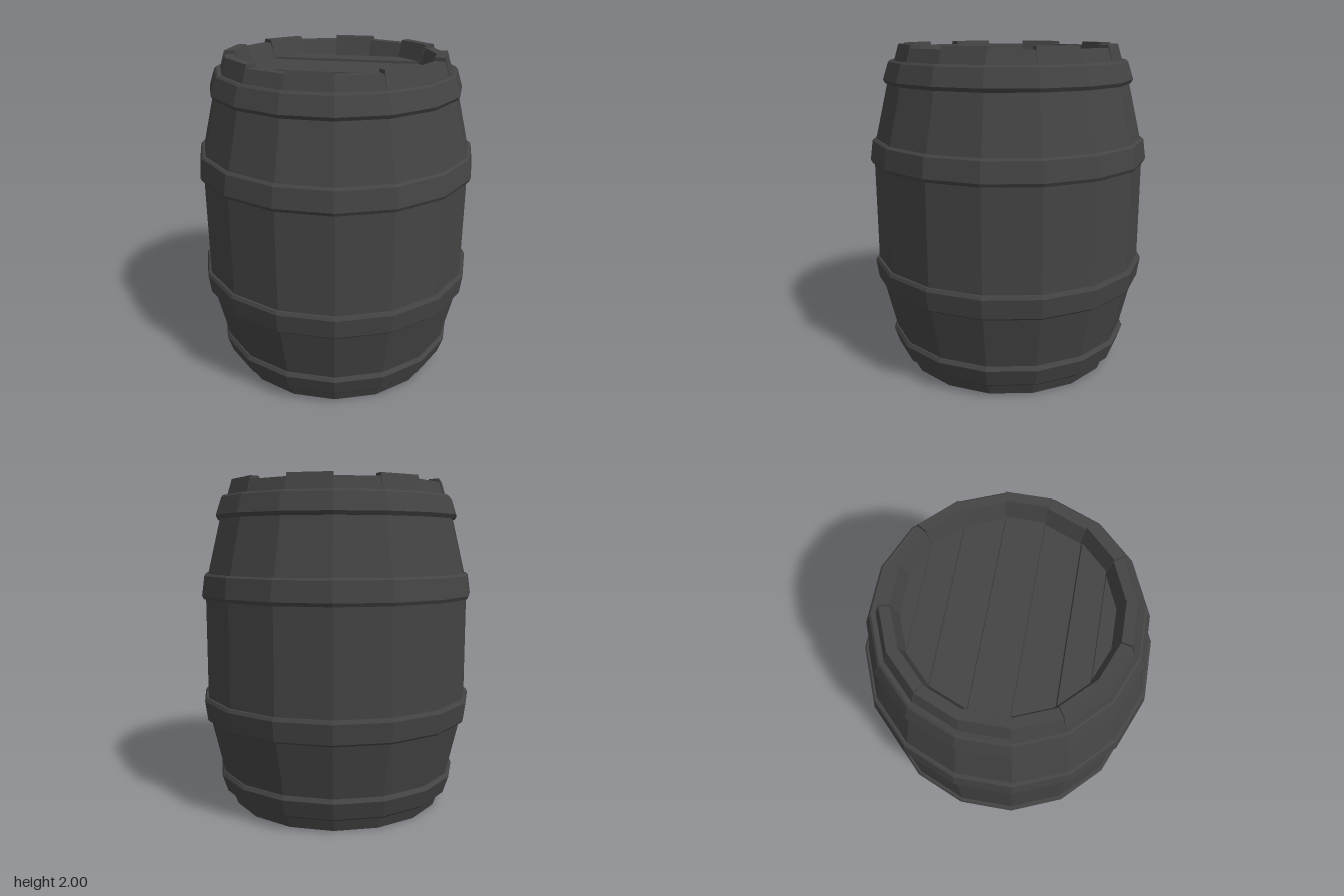
import * as THREE from 'three';

const SIDES = 16;
const HALF = Math.PI / SIDES;
const K = 1 / Math.cos(HALF); // silhouette half-width -> corner radius

const material = new THREE.MeshStandardMaterial({ color: 0x444444, flatShading: true });

function addMesh(parent, name, geometry) {
  const mesh = new THREE.Mesh(geometry, material);
  mesh.name = name;
  parent.add(mesh);
  return mesh;
}

// Sixteen-sided ring or shell from [half-width, height] pairs
function faceted(points) {
  const profile = points.map(([x, y]) => new THREE.Vector2(x * K, y));
  return new THREE.LatheGeometry(profile, SIDES, HALF);
}

// Box whose corners (signs sx, sy, sz) are moved by a rule
function shapedBox(rule) {
  const geometry = new THREE.BoxGeometry(2, 2, 2);
  const p = geometry.attributes.position;
  for (let i = 0; i < p.count; i++) {
    p.setXYZ(i, ...rule(p.getX(i), p.getY(i), p.getZ(i)));
  }
  geometry.computeVertexNormals();
  return geometry;
}

export function createModel() {
  const barrel = new THREE.Group();
  barrel.name = 'barrel';

  // Bulging wall with a recessed underside
  addMesh(barrel, 'body', faceted([
    [0, 0.1], [0.555, 0.1], [0.585, 0], [0.65, 0], [0.72, 0.2],
    [0.8, 0.55], [0.815, 0.62], [0.815, 1.38], [0.8, 1.44],
    [0.72, 1.78], [0.68, 1.895],
  ]));

  // Stave ends around the rim, alternately taller and shorter
  const rim = new THREE.Group();
  rim.name = 'rimStaves';
  barrel.add(rim);
  for (let i = 0; i < SIDES; i++) {
    const top = i % 2 === 0 ? 2 : 1.98;
    addMesh(rim, 'staveEnd', shapedBox((sx, sy, sz) => {
      const angle = (2 * i + sx) * HALF;
      const r = K * (sz > 0 ? (sy > 0 ? 0.648 : 0.69) : (sy > 0 ? 0.59 : 0.55));
      return [r * Math.sin(angle), sy > 0 ? top : 1.86, r * Math.cos(angle)];
    }));
  }

  // Lid planks, cut to the sixteen-sided outline, alternately raised
  const lid = new THREE.Group();
  lid.name = 'lid';
  barrel.add(lid);
  const lidRadius = 0.565 * K;
  for (let i = 0; i < 7; i++) {
    const raised = i % 2 === 1;
    const top = raised ? 1.895 : 1.88;
    addMesh(lid, 'lidPlank', shapedBox((sx, sy, sz) => {
      const angle = (2 * i + 1 + (sz > 0 ? 2 : 0)) * HALF;
      const bevel = raised && sy > 0 ? 0.006 * sz : 0;
      return [
        sx * lidRadius * Math.sin(angle),
        sy > 0 ? top : 1.85,
        -lidRadius * Math.cos(angle) - bevel,
      ];
    }));
  }

  // Hoops, mirrored about mid-height; the wider edge faces the middle
  const hoops = {
    endHoop: [[0.67, 0.085], [0.7, 0.08], [0.712, 0.092], [0.745, 0.195], [0.732, 0.217], [0.7, 0.217]],
    middleHoop: [[0.78, 0.545], [0.81, 0.543], [0.822, 0.555], [0.838, 0.672], [0.828, 0.692], [0.8, 0.692]],
  };
  for (const [name, points] of Object.entries(hoops)) {
    addMesh(barrel, name, faceted(points));
    const mirrored = points.map(([x, y]) => [x, 1.987 - y]).reverse();
    addMesh(barrel, name, faceted(mirrored));
  }

  return barrel;
}
